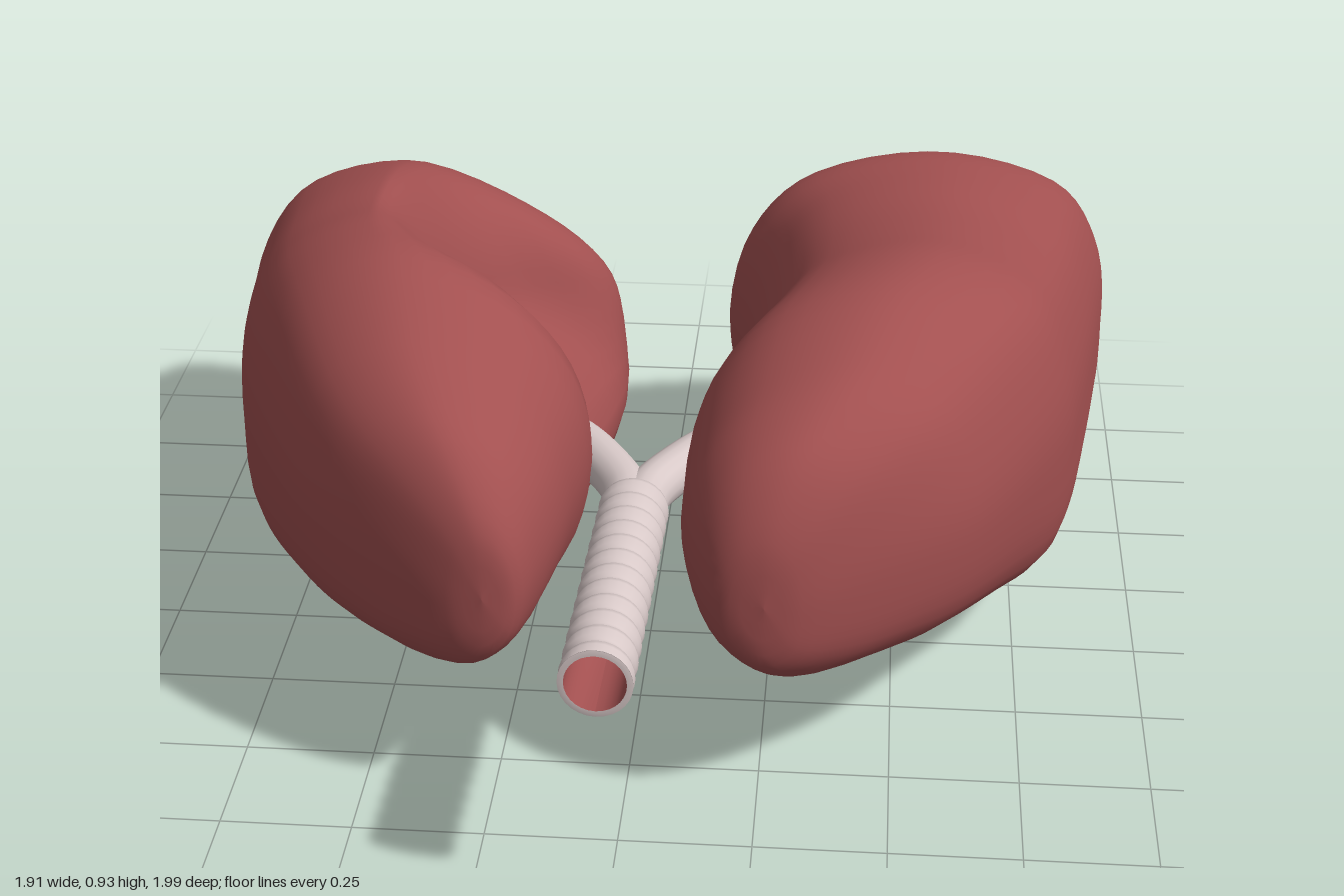
import * as THREE from 'three';

const red = new THREE.MeshStandardMaterial({ color: 0xa25050 });
red.name = 'lung red';
const pale = new THREE.MeshStandardMaterial({ color: 0xd8c9c8 });
pale.name = 'cartilage';
const step = THREE.MathUtils.smoothstep;

// Cross-sections as [inner to outer, bottom to top], from the inner side over the top
const FRONT = [[0, .45], [.05, .72], [.25, .92], [.58, 1], [.85, .88], [.97, .65], [1, .42], [.92, .14], [.55, 0], [.12, .18]];
const LEFT_REAR = [[0, .38], [.05, .72], [.2, .92], [.54, 1], [.86, .88], [.97, .68], [1, .43], [.95, .1], [.5, 0], [.07, .14]];
const RIGHT_REAR = [[0, .42], [.05, .68], [.24, .88], [.54, 1], [.84, .9], [.97, .7], [1, .45], [.96, .13], [.52, 0], [.04, .12]];

// Stations: z, inner x, outer x, bottom y, top y
const LEFT = [
  [.68, .26, .26, .47, .47], [.665, .18, .33, .34, .6], [.6, .13, .44, .28, .72], [.5, .1, .565, .25, .79],
  [.4, .095, .65, .22, .83], [.2, .1, .76, .17, .885], [0, .16, .835, .12, .88], [-.2, .195, .87, .09, .84],
  [-.4, .19, .9, .08, .81], [-.58, .165, .93, .09, .8], [-.72, .12, .95, .11, .785], [-.82, .14, .945, .13, .73],
  [-.87, .19, .91, .17, .66], [-.88, .55, .55, .42, .42],
];
const RIGHT = [
  [.69, .25, .25, .47, .47], [.675, .19, .32, .34, .6], [.6, .155, .45, .28, .72], [.5, .13, .57, .25, .79],
  [.4, .115, .65, .22, .84], [.2, .1, .76, .16, .925], [0, .15, .83, .11, .91], [-.2, .16, .875, .05, .865],
  [-.4, .145, .905, .01, .84], [-.58, .125, .94, 0, .79], [-.72, .115, .95, .02, .73], [-.82, .13, .945, .06, .66],
  [-.87, .2, .91, .13, .58], [-.88, .55, .55, .36, .36],
];

// Lofts a lung through its stations; side is +1 for left, -1 for right
function lungGeometry(stations, rear, side) {
  const around = 48, perSpan = 4;
  const rings = stations.map(([z, xi, xo, yb, yt]) => {
    const k = step(-z, -.45, .35);
    const profile = new THREE.CatmullRomCurve3(FRONT.map(([u, v], i) => new THREE.Vector3(
      THREE.MathUtils.lerp(u, rear[i][0], k), THREE.MathUtils.lerp(v, rear[i][1], k), 0)), true);
    return Array.from({ length: around }, (_, j) => {
      const { x: u, y: v } = profile.getPoint(j / around);
      let x = xi + (xo - xi) * u;
      // Hollow in the upper inner face of the right lung
      if (side < 0) {
        const along = step(-z, -.2, .15) * (1 - step(-z, .46, .82));
        x += .27 * along * step(v, .25, .66) * Math.max(0, 1 - u / .6);
      }
      // The base slants back toward the outer edge
      const out = THREE.MathUtils.clamp((x - .12) / .8, 0, 1);
      const slant = step(-z, .3, .85) * (side < 0 ? .125 * out * out : .1 * out);
      return new THREE.Vector3(x * side, yb + (yt - yb) * v, z - slant);
    });
  });
  const rows = (stations.length - 1) * perSpan;
  const lines = Array.from({ length: around }, (_, j) => new THREE.CatmullRomCurve3(rings.map(r => r[j])));
  const positions = [], index = [];
  for (let i = 0; i <= rows; i++) {
    for (let j = 0; j < around; j++) {
      positions.push(...lines[j].getPoint(i / rows).toArray());
      if (i === rows) continue;
      const a = i * around + j, b = i * around + (j + 1) % around, c = a + around, d = b + around;
      if (side > 0) index.push(a, b, c, b, d, c);
      else index.push(a, c, b, b, c, d);
    }
  }
  const g = new THREE.BufferGeometry();
  g.setAttribute('position', new THREE.Float32BufferAttribute(positions, 3));
  g.setIndex(index);
  g.computeVertexNormals();
  return g;
}

export function createModel() {
  const model = new THREE.Group();
  const add = (name, geometry, material, parent = model) => {
    const mesh = new THREE.Mesh(geometry, material);
    mesh.name = name;
    parent.add(mesh);
    return mesh;
  };

  add('leftLung', lungGeometry(LEFT, LEFT_REAR, 1), red);
  add('rightLung', lungGeometry(RIGHT, RIGHT_REAR, -1), red);

  // Windpipe along z, leaning slightly to the right at its open end
  const windpipe = new THREE.Group();
  windpipe.name = 'windpipe';
  windpipe.position.set(0, .5, .36);
  windpipe.rotation.set(Math.PI / 2, 0, .02);
  model.add(windpipe);
  const length = .64, count = 12, pitch = length / count;
  const wall = [[.05, 0]];
  for (let i = 0; i < count; i++) {
    const y = i * pitch;
    wall.push([.056, y + .012], [.064, y + .016], [.067, y + .03], [.064, y + .046], [.056, y + .05]);
  }
  wall.push([.066, length - .002], [.066, length], [.055, length]);
  add('ringedWall', new THREE.LatheGeometry(wall.map(p => new THREE.Vector2(...p)), 28), pale, windpipe);

  // Red lining seen through the open end
  const lining = [[0, length - .2], [.055, length - .2], [.055, length]].map(p => new THREE.Vector2(...p));
  const liningGeometry = new THREE.LatheGeometry(lining, 28);
  liningGeometry.index.array.reverse();
  liningGeometry.computeVertexNormals();
  add('lining', liningGeometry, red, windpipe);

  // Forked airways, each ending in a red root that joins the lung
  for (const [name, s] of [['left', 1], ['right', -1]]) {
    const tube = (part, points, radius, material) => add(name + part, new THREE.TubeGeometry(
      new THREE.CatmullRomCurve3(points.map(([x, z]) => new THREE.Vector3(x * s, .5, z))), 20, radius, 16), material);
    tube('Airway', [[.008, .4], [.022, .31], [.07, .21], [.13, .12], [.19, .06]], .047, pale);
    tube('Root', [[.175, .075], [.25, .01], [.34, -.05], [.44, -.1]], .051, red);
  }
  return model;
}
